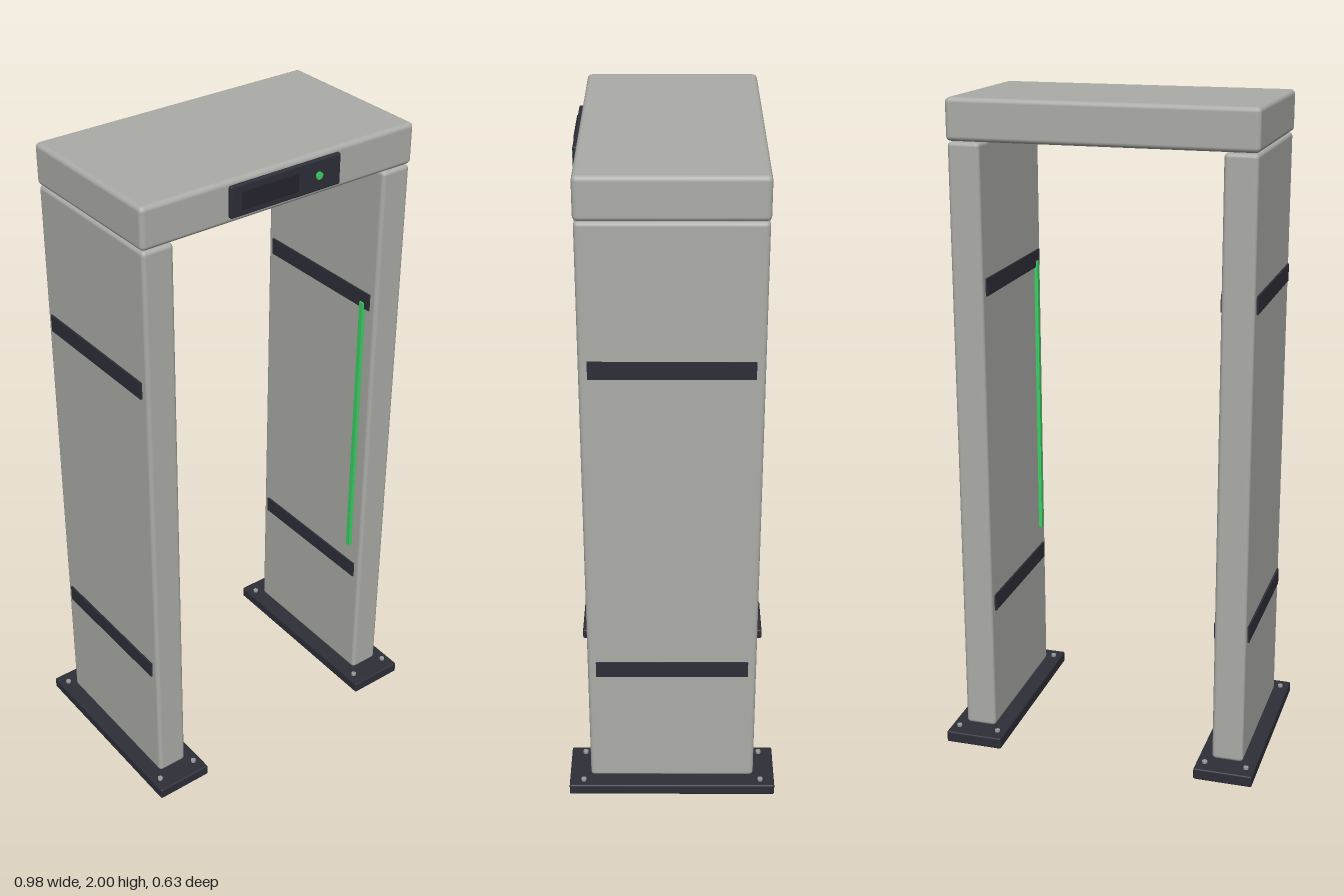
import * as THREE from 'three';
import { RoundedBoxGeometry } from 'three/addons/geometries/RoundedBoxGeometry.js';

function material(name, color) {
  const m = new THREE.MeshStandardMaterial({ color });
  m.name = name;
  return m;
}

export function createModel() {
  const grey = material('warm grey casing', 0xabaca8);
  const dark = material('dark trim', 0x2e2e38);
  const black = material('screen glass', 0x24242c);
  const green = material('green light', 0x3ccf64);
  const steel = material('bolt steel', 0x9a9b9c);

  const model = new THREE.Group();
  model.name = 'walkThroughDetector';

  function add(parent, name, geometry, mat, x, y, z) {
    const mesh = new THREE.Mesh(geometry, mat);
    mesh.name = name;
    mesh.position.set(x, y, z);
    parent.add(mesh);
    return mesh;
  }
  const box = (w, h, d) => new THREE.BoxGeometry(w, h, d);
  const rounded = (w, h, d, r) => new RoundedBoxGeometry(w, h, d, 3, r);

  // Two side pillars, mirrored by sign
  for (const side of [1, -1]) {
    const pillar = new THREE.Group();
    pillar.name = side > 0 ? 'leftPillar' : 'rightPillar';
    model.add(pillar);

    add(pillar, 'sidePanel', rounded(0.096, 1.836, 0.504, 0.012), grey, side * 0.4, 0.958, 0);
    add(pillar, 'footPlate', rounded(0.18, 0.036, 0.635, 0.005), dark, side * 0.4, 0.018, 0);

    // Dark bands standing just proud of both panel faces
    for (const y of [0.457, 1.457]) {
      add(pillar, 'trimBand', box(0.107, 0.052, 0.454), dark, side * 0.4, y, 0);
    }

    // Slim light bar on the inner face, near the front
    add(pillar, 'lightBar', box(0.012, 0.9, 0.015), green, side * 0.347, 1, 0.2);

    // Floor bolts at the plate corners
    const bolt = new THREE.CylinderGeometry(0.008, 0.008, 0.01, 12);
    for (const dx of [-0.064, 0.064]) {
      for (const z of [-0.274, 0.274]) {
        add(pillar, 'floorBolt', bolt, steel, side * 0.4 + dx, 0.038, z);
      }
    }
  }

  // Crossbar over the passage
  add(model, 'header', rounded(0.904, 0.122, 0.508, 0.014), grey, 0, 1.939, 0);

  // Control display on the front of the crossbar
  const display = new THREE.Group();
  display.name = 'controlDisplay';
  model.add(display);
  add(display, 'displayHousing', rounded(0.364, 0.09, 0.024, 0.005), dark, 0, 1.941, 0.253);
  add(display, 'screen', box(0.184, 0.052, 0.006), black, -0.056, 1.941, 0.267);
  const lamp = new THREE.CylinderGeometry(0.011, 0.011, 0.006, 16).rotateX(Math.PI / 2);
  add(display, 'statusLamp', lamp, green, 0.107, 1.941, 0.267);

  return model;
}
